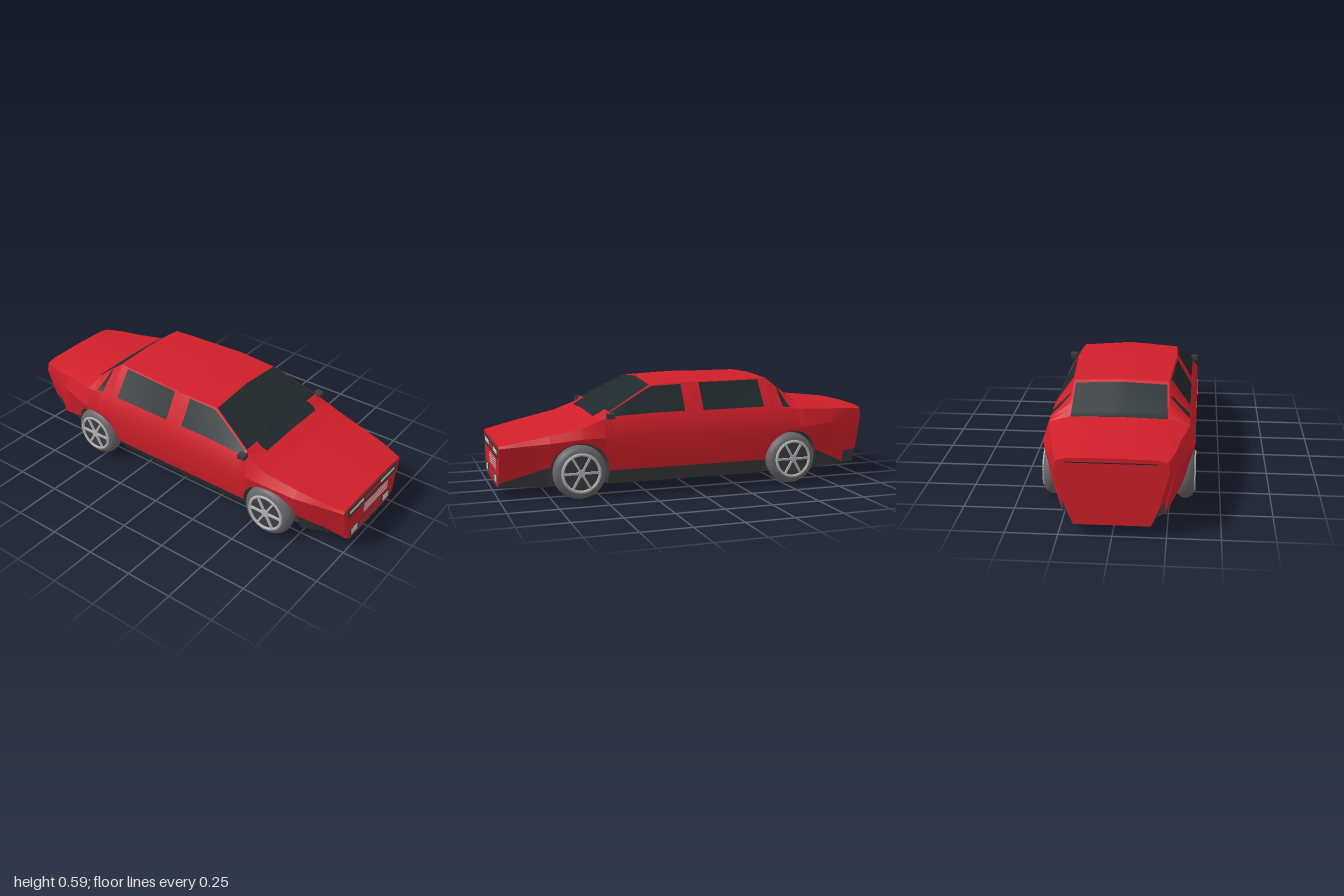
import * as THREE from 'three';
import { toCreasedNormals } from 'three/addons/utils/BufferGeometryUtils.js';

const mat = (color, side = THREE.FrontSide) => new THREE.MeshStandardMaterial({ color, side });
const red = mat(0xd01f2a), dark = mat(0x3c3c3f), black = mat(0x242427), tyreGrey = mat(0x666668);
const glassMat = mat(0x20292c, THREE.DoubleSide), lampMat = mat(0xc8cdbe), metal = mat(0xb4b4b4);
const rimMat = mat(0xb4b4b4, THREE.DoubleSide);
const { lerp, clamp } = THREE.MathUtils;

// Lines running the length of the car, as [z, value] from nose to tail
const creaseX = [[1, .285], [.76, .355], [.6, .375], [-.6, .373], [-.7, .352], [-1, .262]];
const creaseY = [[1, .27], [.6, .31], [-.6, .31], [-1, .33]];
const sillY = [[1, .085], [.76, .17], [.46, .14], [-.43, .14], [-.7, .17], [-.9, .08], [-1, .08]];
const shoulderY = [[1, .28], [.6, .36], [.46, .41], [-.43, .415], [-.6, .402], [-1, .376]];
const edgeX = [[1, .2], [.52, .22], [.46, .325], [.22, .255], [0, .262], [-.43, .235], [-.6, .245], [-1, .2]];
const roofY = [[1, .287], [.6, .376], [.52, .402], [.46, .436], [.22, .572], [0, .592], [-.43, .572], [-.6, .434], [-1, .392]];
const AXLES = [.61, -.54], ARCH = .15, HUB_Y = .14, FLOOR_Y = .06, TAIL_Z = -.902;

function along(line, z) {
  const i = clamp(line.findIndex(k => k[0] <= z), 1, line.length - 1);
  const [a, b] = [line[i - 1], line[i]];
  return lerp(a[1], b[1], (a[0] - z) / (a[0] - b[0]));
}

// Half section: floor centre, floor edge, sill bottom, sill top, crease, shoulder, upper edge, centre line
function section(z) {
  const end = clamp((Math.abs(z) - .75) / .15, 0, 1), wide = along(creaseX, z), top = along(roofY, z);
  const crease = [wide, along(creaseY, z)];
  let sill = [wide - .03 - .02 * end, z < TAIL_Z ? .14 : along(sillY, z)];
  let low = [sill[0] * .84, FLOOR_Y], floor = Math.min(.26, low[0] - .02);
  for (const c of AXLES) {
    const d = Math.abs(z - c);
    if (d > ARCH + 1e-6) continue;
    // Lift the lower edge over the wheel
    const y = HUB_Y + Math.sqrt(Math.max(0, ARCH * ARCH - d * d));
    floor = .25;
    low = [floor, y];
    if (y > sill[1]) sill = [lerp(sill[0], crease[0], (y - sill[1]) / (crease[1] - sill[1])), y];
  }
  return [[0, FLOOR_Y], [floor, FLOOR_Y], low, sill, crease,
    [wide - .03 + .02 * end, along(shoulderY, z)],
    [along(edgeX, z), top - Math.max(.004, .031 - .05 * Math.abs(z))], [0, top]];
}

// Positions along the car: line knots, even steps and closer steps round the arches
function stations() {
  const s = [creaseX, sillY, edgeX, roofY].flatMap(l => l.map(k => k[0]));
  s.push(TAIL_Z, TAIL_Z - .001);
  for (let z = .96; z > -.99; z -= .04) s.push(z);
  for (const c of AXLES) {
    for (let i = 0; i <= 16; i++) s.push(c + ARCH * Math.cos(i * Math.PI / 16));
    s.push(c + ARCH + .001, c - ARCH - .001);
  }
  return s.sort((a, b) => b - a).filter((z, i, l) => !i || l[i - 1] - z > 5e-4);
}

// Mirrored triangles from quads on the +x side, with corners a, b (rearward), c (upward), d
function collector() {
  const v = [];
  const tri = (a, b, c) => {
    v.push(...a, ...b, ...c);
    for (const q of [a, c, b]) v.push(-q[0], q[1], q[2]);
  };
  return {
    tri,
    quad(a, b, c, d) { tri(a, b, c); tri(b, d, c); },
    geometry() {
      const g = new THREE.BufferGeometry();
      g.setAttribute('position', new THREE.Float32BufferAttribute(v, 3));
      return toCreasedNormals(g, .5);
    },
  };
}

// Curved pane just over the bodywork: z range at its bottom and top, t range across the band
function pane(out, band, low, high, [t0, t1, t0Rear = t0], n = 10) {
  const at = (i, j) => {
    const u = i / n, w = j / n;
    const z = lerp(lerp(low[0], low[1], u), lerp(high[0], high[1], u), w);
    const t = lerp(lerp(t0, t0Rear, u), t1, w);
    const s = section(z), p = s[band], q = s[band + 1];
    const x = lerp(p[0], q[0], t), y = lerp(p[1], q[1], t), l = Math.hypot(x, y - .25);
    return [x * (1 + .004 / l), y + .004 * (y - .25) / l, z];
  };
  for (let i = 0; i < n; i++) for (let j = 0; j < n; j++) {
    out.quad(at(i, j), at(i + 1, j), at(i, j + 1), at(i + 1, j + 1));
  }
}

export function createModel() {
  const car = new THREE.Group();
  car.name = 'car';
  const add = (name, geo, material, parent = car) => {
    const m = new THREE.Mesh(geo, material);
    m.name = name;
    parent.add(m);
    return m;
  };
  // Box from its centre and size
  const box = (name, material, x, y, z, w, h, d) =>
    add(name, new THREE.BoxGeometry(w, h, d), material).position.set(x, y, z);

  // Bodywork, sills with wheel wells, and floor
  const shell = collector(), sills = collector(), pan = collector();
  const zs = stations(), rings = zs.map(z => section(z).map(p => [...p, z]));
  for (let i = 0; i < zs.length - 1; i++) {
    const z = (zs[i] + zs[i + 1]) / 2;
    const underWheels = AXLES.some(c => Math.abs(z - c) < .22);
    for (let k = 0; k < 7; k++) {
      const part = k === 0 && underWheels ? pan : k === 1 || k === 2 ? sills : shell;
      part.quad(rings[i][k], rings[i + 1][k], rings[i][k + 1], rings[i + 1][k + 1]);
    }
  }
  // Nose and tail faces
  const nose = rings[0], tail = rings[rings.length - 1];
  for (let k = 0; k < 7; k++) {
    shell.tri([0, .17, 1], nose[k], nose[k + 1]);
    shell.tri([0, .17, -1], tail[k + 1], tail[k]);
  }
  add('bodywork', shell.geometry(), red);
  add('sillsAndWheelWells', sills.geometry(), dark);
  add('floorPan', pan.geometry(), black);

  // Glass: band 5 is the cabin side, band 6 the top
  const glass = (name, ...panes) => {
    const g = collector();
    panes.forEach(p => pane(g, ...p));
    add(name, g.geometry(), glassMat);
  };
  glass('windscreen', [6, [.455, .225], [.455, .225], [.03, 1]], [6, [.516, .455], [.516, .455], [.02, 1, .32]]);
  glass('rearWindow', [6, [-.447, -.605], [-.447, -.605], [.05, 1]]);
  glass('frontSideWindows', [5, [.45, .06], [.45, .06], [.06, .94]]);
  glass('rearSideWindows', [5, [-.04, -.38], [-.04, -.38], [.05, .95]]);
  glass('quarterWindows', [5, [-.488, -.53], [-.488, -.498], [.06, .94]]);

  // Wheels: rounded tyre, dark dish, bright ring and six spokes
  const tyreProfile = [];
  for (let i = 0; i <= 8; i++) {
    const a = (i / 8 - .5) * Math.PI;
    tyreProfile.push(new THREE.Vector2(.1 + .037 * Math.cos(a), .043 * Math.sin(a)));
  }
  const tyreGeo = new THREE.LatheGeometry(tyreProfile, 28);
  const ringGeo = new THREE.TorusGeometry(.094, .008, 6, 28).rotateX(Math.PI / 2);
  const dishGeo = new THREE.CylinderGeometry(.101, .101, .078, 28);
  const hubGeo = new THREE.CylinderGeometry(.018, .018, .012, 12);
  const spokeGeo = new THREE.BoxGeometry(.085, .01, .011);
  for (const side of [1, -1]) for (const z of AXLES) {
    const wheel = new THREE.Group();
    wheel.name = (z > 0 ? 'front' : 'rear') + (side > 0 ? 'Left' : 'Right') + 'Wheel';
    add('tyre', tyreGeo, tyreGrey, wheel);
    add('dish', dishGeo, dark, wheel);
    add('rimRing', ringGeo, rimMat, wheel).position.y = .043;
    add('hub', hubGeo, metal, wheel).position.y = .045;
    for (let i = 0; i < 6; i++) {
      const a = (i + .5) * Math.PI / 3, spoke = add('spoke', spokeGeo, metal, wheel);
      spoke.position.set(.048 * Math.cos(a), .044, -.048 * Math.sin(a));
      spoke.rotation.y = a;
    }
    wheel.rotation.z = -side * Math.PI / 2;
    wheel.position.set(side * .327, HUB_Y, z);
    car.add(wheel);
  }

  // Rectangular frames standing on the nose
  const frame = (name, x, y, h, w) => {
    const shape = new THREE.Shape(), hole = new THREE.Path();
    const corners = (p, a, b) => p.setFromPoints([[-a, -b], [a, -b], [a, b], [-a, b]].map(q => new THREE.Vector2(...q)));
    corners(shape, x, h);
    corners(hole, x - w, h - w);
    shape.holes.push(hole);
    add(name, new THREE.ExtrudeGeometry(shape, { depth: .02, bevelEnabled: false }), dark).position.set(0, y, .983);
  };
  frame('headlampFrame', .245, .242, .028, .016);
  frame('bumperFrame', .205, .1, .022, .004);
  for (const s of [1, -1]) {
    box('headlamp', lampMat, s * .16, .242, .99, .14, .023, .024);
    box('foglampHousing', dark, s * .16, .1, .99, .09, .04, .024);
    box('foglamp', lampMat, s * .16, .1, .99, .056, .034, .028);
    // Door mirrors
    box('mirrorArm', dark, s * .322, .413, .455, .045, .013, .02);
    box('mirrorHead', dark, s * .356, .416, .455, .036, .025, .04);
  }
  // Grille slats and the edge beside them
  for (let i = 0; i < 5; i++) box('grilleSlat', metal, .048, .15 + i * .0112, .99, .243, .0036, .024);
  box('grilleEdge', dark, .187, .171, .99, .003, .058, .022);

  // Tail lip and handle
  box('tailLip', black, 0, .368, -.99, .42, .004, .024);
  box('tailHandle', red, 0, .343, -.99, .12, .017, .026);
  return car;
}
